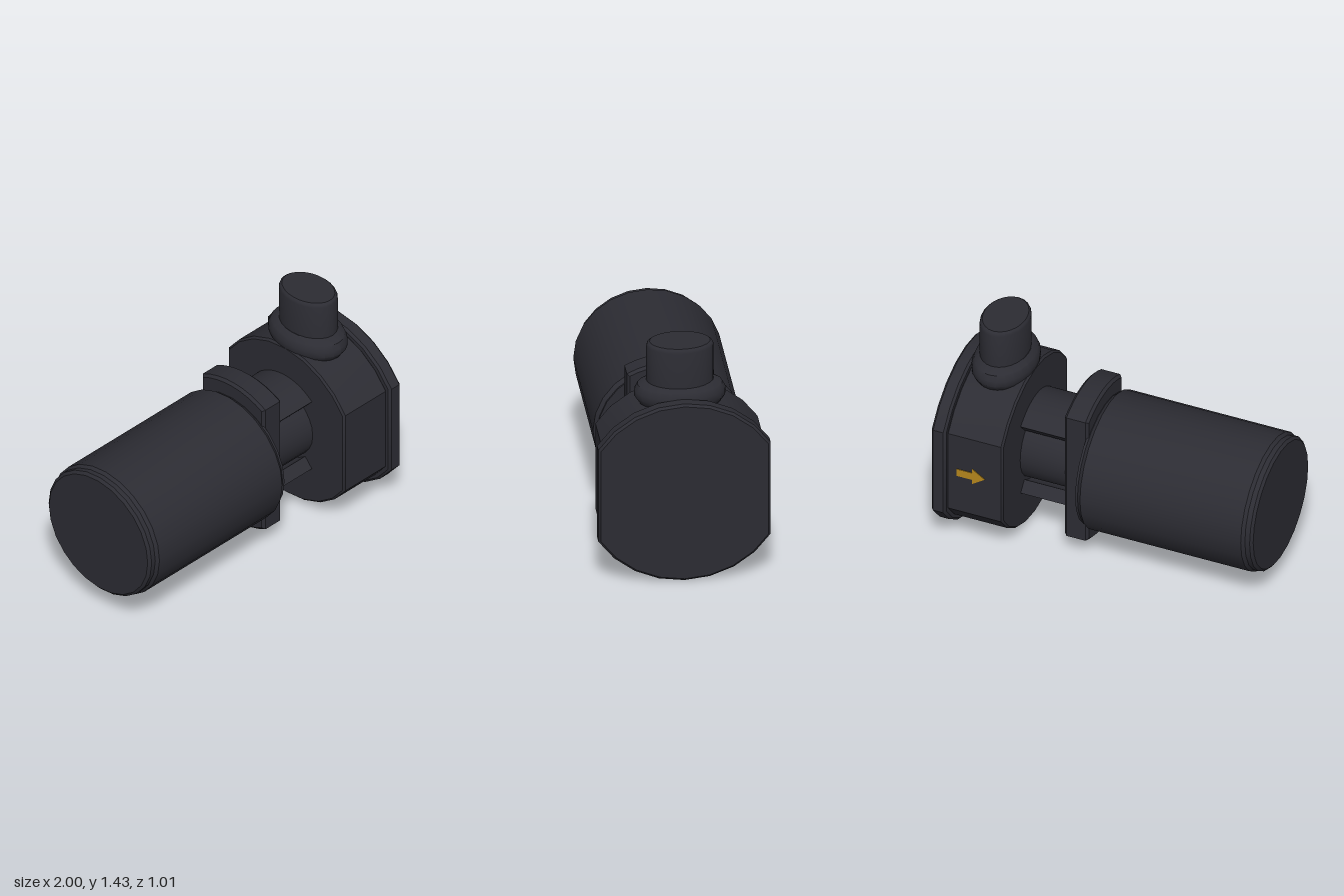
import * as THREE from 'three';
import { toCreasedNormals } from 'three/addons/utils/BufferGeometryUtils.js';

const AXIS = 0.568; // height of the main horizontal axis
const WIDE = 1.045; // round parts are slightly wider in z than in y

export function createModel() {
  const group = new THREE.Group();
  const charcoal = new THREE.MeshStandardMaterial({ color: 0x2c2c33 });
  charcoal.name = 'charcoal';
  const gold = new THREE.MeshStandardMaterial({ color: 0xb5871c });
  gold.name = 'gold';

  const add = (name, geometry, material = charcoal) => {
    const mesh = new THREE.Mesh(toCreasedNormals(geometry, 0.6), material);
    mesh.name = name;
    group.add(mesh);
    return mesh;
  };

  // Outline (z, y) extruded along x from x0 to x1, with a small bevel kept inside the size
  const plate = (name, shape, x0, x1, bevel) => {
    const g = new THREE.ExtrudeGeometry(shape, {
      depth: x1 - x0 - 2 * bevel, curveSegments: 10, bevelEnabled: bevel > 0,
      bevelThickness: bevel, bevelSize: bevel, bevelOffset: -bevel, bevelSegments: 1,
    });
    g.rotateY(Math.PI / 2);
    g.translate(x0 + bevel, AXIS, 0);
    return add(name, g);
  };

  // Circle of a given height with both sides cut off flat
  const cutCircle = (ry, halfWidth) => {
    const end = Math.asin(halfWidth / (ry * WIDE));
    const steps = 8;
    const points = [];
    for (const side of [1, -1]) {
      for (let i = 0; i <= steps; i++) {
        const a = end * (1 - (2 * i) / steps);
        points.push(new THREE.Vector2(side * Math.sin(a) * ry * WIDE, side * Math.cos(a) * ry));
      }
    }
    return new THREE.Shape(points);
  };

  const lathe = (profile, segments) =>
    new THREE.LatheGeometry(profile.map(([r, y]) => new THREE.Vector2(r, y)), segments);

  // Motor housing lying along x, with a stepped end cap
  const motor = lathe([
    [0, -1], [0.385, -1], [0.402, -0.985], [0.402, -0.955], [0.416, -0.935],
    [0.416, 0.085], [0.396, 0.11], [0.396, 0.125], [0, 0.125],
  ], 24);
  motor.rotateZ(-Math.PI / 2);
  motor.scale(1, 1, WIDE);
  motor.translate(0, AXIS, 0);
  add('motorHousing', motor);

  // Mounting flange, pump body and front cover
  plate('mountingFlange', cutCircle(0.496, 0.255), 0.113, 0.265, 0.016);
  plate('pumpBody', cutCircle(0.53, 0.475), 0.557, 0.915, 0.012);
  plate('frontCover', cutCircle(0.565, 0.505), 0.908, 1, 0.014);

  // Neck: round core with curved bridges above and below
  const core = new THREE.CylinderGeometry(0.22, 0.22, 0.32, 24);
  core.rotateZ(Math.PI / 2);
  core.translate(0.41, AXIS, 0);
  add('neckCore', core);
  for (const [name, mid] of [['upperBridge', Math.PI / 2], ['lowerBridge', -Math.PI / 2]]) {
    const arc = new THREE.Shape();
    arc.absarc(0, 0, 0.323, mid - 0.72, mid + 0.72, false);
    arc.absarc(0, 0, 0.24, mid + 0.72, mid - 0.72, true);
    plate(name, arc, 0.25, 0.57, 0);
  }

  // Oval outlet on top with a rounded collar
  const collar = lathe([
    [0, 1.0], [0.7, 1.02], [0.9, 1.05], [1, 1.09], [1, 1.125], [0.93, 1.16], [0.75, 1.185], [0, 1.185],
  ], 24);
  collar.scale(0.186, 1, 0.268);
  collar.translate(0.741, 0, 0);
  add('outletCollar', collar);

  const outlet = lathe([[0, 1.15], [1, 1.15], [1, 1.405], [0.97, 1.42], [0.9, 1.43], [0, 1.43]], 24);
  outlet.scale(0.141, 1, 0.197);
  outlet.translate(0.745, 0, 0);
  add('outletPipe', outlet);

  // Flow arrow on the back side, pointing toward the motor
  const arrow = new THREE.Shape([
    [-0.09, -0.025], [0.01, -0.025], [0.01, -0.055], [0.09, 0],
    [0.01, 0.055], [0.01, 0.025], [-0.09, 0.025],
  ].map(([x, y]) => new THREE.Vector2(x, y)));
  const arrowGeometry = new THREE.ExtrudeGeometry(arrow, { depth: 0.006, bevelEnabled: false });
  arrowGeometry.rotateY(Math.PI);
  arrowGeometry.translate(0.76, 0.575, -0.473);
  add('flowArrow', arrowGeometry, gold);

  return group;
}
